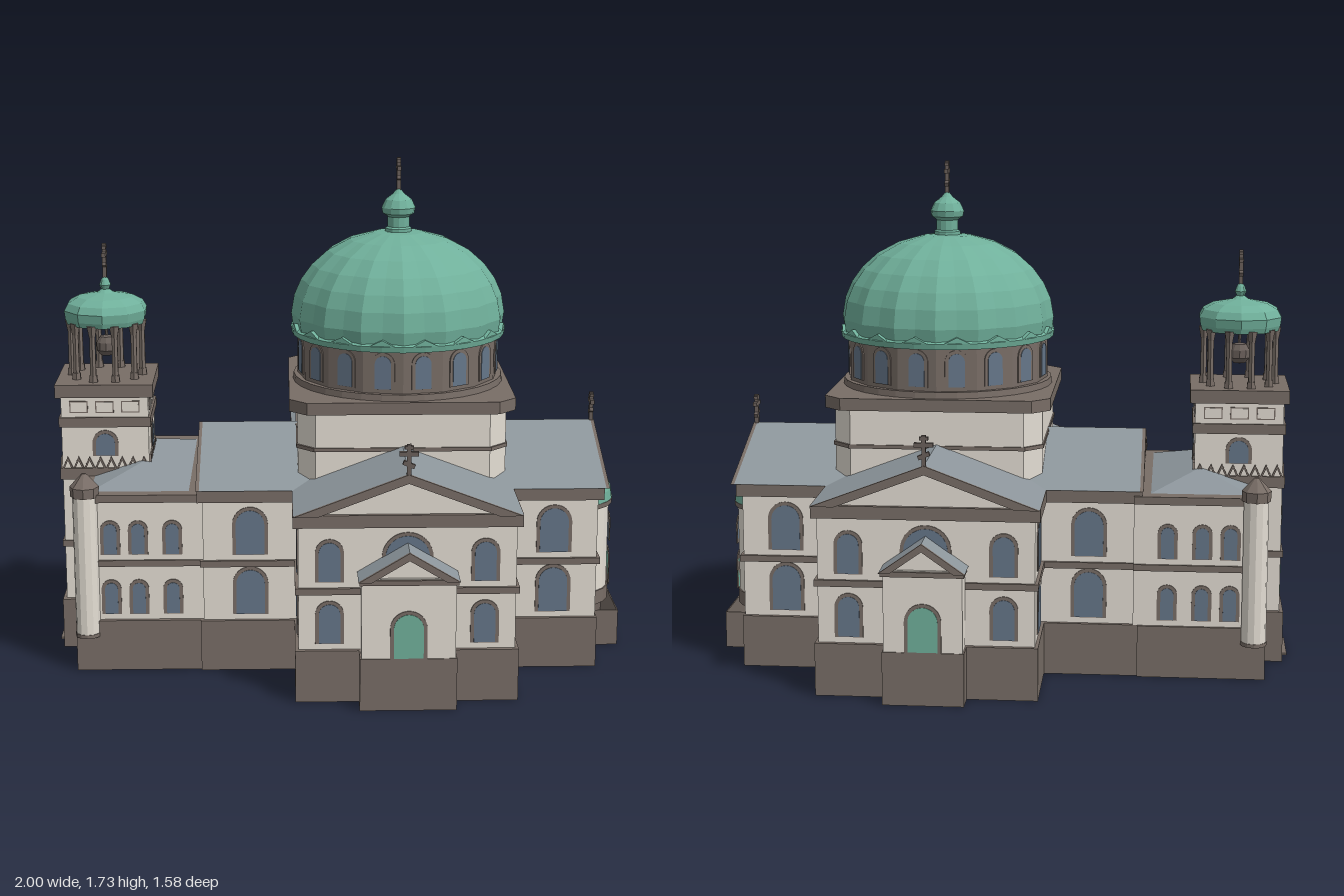
import * as THREE from 'three';

export function createModel() {
  const model = new THREE.Group();
  const mat = (name, color) => new THREE.MeshStandardMaterial({ name, color, flatShading: true });
  const wall = mat('plaster', 0xe3ddd3);
  const stone = mat('brown stone', 0x786d66);
  const slate = mat('slate roof', 0x8d969c);
  const green = mat('copper green', 0x70b09b);
  const glass = mat('window glass', 0x657689);
  const iron = mat('dark iron', 0x6a605b);

  const CX = 0.214;               // centre of the cross plan
  const TX = -0.815, TZ = -0.018; // centre of the bell tower

  function add(name, geo, m, x = 0, y = 0, z = 0, parent = model) {
    const mesh = new THREE.Mesh(geo, m);
    mesh.name = name;
    mesh.position.set(x, y, z);
    parent.add(mesh);
    return mesh;
  }
  const box = (name, m, x0, x1, y0, y1, z0, z1) =>
    add(name, new THREE.BoxGeometry(x1 - x0, y1 - y0, z1 - z0), m, (x0 + x1) / 2, (y0 + y1) / 2, (z0 + z1) / 2);
  const cyl = (name, m, x, z, y0, y1, r0, r1, n) =>
    add(name, new THREE.CylinderGeometry(r1, r0, y1 - y0, n), m, x, (y0 + y1) / 2, z);
  const lathe = (pts, n) => new THREE.LatheGeometry(pts.map(p => new THREE.Vector2(p[0], p[1])), n);
  const extrude = (shape, depth) => new THREE.ExtrudeGeometry(shape, { depth, bevelEnabled: false, curveSegments: 8 });
  const polygon = pts => new THREE.Shape(pts.map(p => new THREE.Vector2(p[0], p[1])));

  function arch(w, h) {
    const s = new THREE.Shape();
    s.moveTo(-w / 2, 0);
    s.lineTo(w / 2, 0);
    s.lineTo(w / 2, h - w / 2);
    s.absarc(0, h - w / 2, w / 2, 0, Math.PI, false);
    return s;
  }
  // Arched opening with a stone surround; angle turns it away from +z
  function opening(name, x, y, z, angle, w, h, fill = glass) {
    const g = new THREE.Group();
    g.name = name;
    add(name + 'Frame', extrude(arch(w, h), 0.004), stone, 0, 0, 0, g);
    add(name + 'Pane', extrude(arch(w - 0.024, h - 0.014), 0.006), fill, 0, 0.002, 0, g);
    g.position.set(x, y, z);
    g.rotation.y = angle;
    model.add(g);
  }
  // Two storeys of the same opening
  function windowPair(x, z, angle, w, hLow, hHigh) {
    opening('lowerWindow', x, 0.2, z, angle, w, hLow);
    opening('upperWindow', x, 0.415, z, angle, w, hHigh);
  }
  // Gabled roof along local z with plaster pediment and stone rakes
  function gable(name, x, z, angle, w, y0, y1, half, t) {
    const g = new THREE.Group();
    g.name = name;
    const wi = w * (1 - t / (y1 - y0));
    const chevron = polygon([[-w, y0], [-wi, y0], [0, y1 - t], [wi, y0], [w, y0], [0, y1]]);
    add('roofSlopes', extrude(chevron, 2 * half - 0.024), slate, 0, 0, 0.012 - half, g);
    add('pediment', extrude(polygon([[-wi, y0], [wi, y0], [0, y1 - t]]), 2 * half - 0.07), wall, 0, 0, 0.035 - half, g);
    for (const z0 of [-half, half - 0.012]) add('rake', extrude(chevron, 0.012), stone, 0, 0, z0, g);
    g.position.set(x, 0, z);
    g.rotation.y = angle;
    model.add(g);
  }
  // Three-barred cross facing local z
  function cross(x, y, z, h, angle) {
    const g = new THREE.Group();
    g.name = 'cross';
    const t = 0.014;
    add('post', new THREE.BoxGeometry(t, h, t), iron, 0, h / 2, 0, g);
    add('topBar', new THREE.BoxGeometry(h * 0.28, t * 0.8, t), iron, 0, h * 0.9, 0, g);
    add('mainBar', new THREE.BoxGeometry(h * 0.6, t, t), iron, 0, h * 0.7, 0, g);
    add('slantedBar', new THREE.BoxGeometry(h * 0.38, t, t), iron, 0, h * 0.36, 0, g).rotation.z = -0.4;
    g.position.set(x, y, z);
    g.rotation.y = angle;
    model.add(g);
  }

  // Hollow plinths, open below: outline(e) gives [x, -z] corners inset by e
  function skirt(name, outline, t, h) {
    const ring = polygon(outline(0));
    ring.holes.push(polygon(outline(t)));
    add(name + 'Sides', extrude(ring, h), stone).rotation.x = -Math.PI / 2;
  }
  function plinth(name, outline, h) {
    skirt(name, outline, 0.015, h - 0.015);
    add(name + 'Top', extrude(polygon(outline(0)), 0.015), stone, 0, h - 0.015, 0).rotation.x = -Math.PI / 2;
  }
  const rect = (x0, x1, z0, z1) => e =>
    [[x0 + e, -z1 + e], [x1 - e, -z1 + e], [x1 - e, -z0 - e], [x0 + e, -z0 - e]];
  plinth('mainPlinth', e => {
    const a = CX - 0.371 + e, b = CX + 0.371 - e, l = -0.48 + e, r = 0.89 - e, n = 0.688 - e, m = 0.39 - e;
    return [[a, -n], [b, -n], [b, -m], [r, -m], [r, m], [b, m], [b, n], [a, n], [a, m], [l, m], [l, -m], [a, -m]];
  }, 0.18);
  plinth('narthexPlinth', rect(-0.91, -0.475, -0.4, 0.38), 0.18);
  plinth('towerPlinth', rect(-0.98, -0.65, TZ - 0.17, TZ + 0.17), 0.179);
  skirt('apsePlinth', rect(0.88, 1, -0.18, 0.18), 0.004, 0.13);
  box('westStep', stone, -1, -0.97, 0, 0.008, TZ - 0.095, TZ + 0.095);

  // Cross-shaped body: walls, string course and cornice
  for (const [name, m, y0, y1, e] of [['walls', wall, 0.18, 0.605, 0],
    ['stringCourse', stone, 0.373, 0.395, 0.011], ['cornice', stone, 0.605, 0.648, 0.018]]) {
    box(name, m, CX - 0.36 - e, CX + 0.36 + e, y0, y1, -0.672 - e, 0.672 + e);
    box(name, m, -0.47 - e, 0.885 + e, y0, y1, -0.376 - e, 0.376 + e);
  }
  gable('crossArmRoof', CX, 0, 0, 0.376, 0.648, 0.79, 0.71, 0.03);
  gable('longArmRoof', CX, 0, Math.PI / 2, 0.4, 0.648, 0.79, 0.706, 0.03);
  cross(CX + 0.695, 0.785, 0, 0.105, Math.PI / 2);

  // North and south fronts
  for (const s of [1, -1]) {
    const a = s > 0 ? 0 : Math.PI;
    for (const d of [-0.257, 0.257]) windowPair(CX + d, s * 0.672, a, 0.095, 0.15, 0.148);
    for (const d of [-0.522, 0.522]) windowPair(CX + d, s * 0.376, a, 0.122, 0.172, 0.17);
    for (const d of [1, -1]) windowPair(CX + d * 0.36, s * 0.53, d * Math.PI / 2, 0.122, 0.172, 0.17);
    opening('centreWindow', CX, 0.42, s * 0.672, a, 0.17, 0.165);
    cross(CX, 0.785, s * 0.7, 0.105, 0);
    windowPair(0.885, s * 0.275, Math.PI / 2, 0.095, 0.15, 0.148);
    // Porch, narrower at the back
    const w = s > 0 ? 0.155 : 0.13;
    const z0 = s > 0 ? 0.675 : -0.768, z1 = s > 0 ? 0.768 : -0.675;
    plinth('porchPlinth', rect(CX - w - 0.005, CX + w + 0.005, z0, z1), 0.18);
    box('porchWalls', wall, CX - w, CX + w, 0.18, 0.455, z0 + 0.004, z1 - 0.004);
    gable('porchRoof', CX, s * 0.69, 0, w + 0.011, 0.45, 0.55, 0.1, 0.026);
    box('porchCornice', stone, CX - w - 0.007, CX + w + 0.007, 0.435, 0.452, z0 - 0.006, z1 + 0.006);
    opening('porchDoor', CX, 0.18, s * 0.764, a, 0.122, 0.165, green);
  }

  // Apse
  cyl('apseFoot', stone, 0.84, 0, 0.13, 0.18, 0.148, 0.148, 20);
  cyl('apseWall', wall, 0.84, 0, 0.18, 0.495, 0.143, 0.143, 20);
  cyl('apseCornice', stone, 0.84, 0, 0.49, 0.508, 0.153, 0.155, 20);
  add('apseDome', new THREE.SphereGeometry(0.154, 20, 6, 0, Math.PI * 2, 0, Math.PI / 2), green, 0.84, 0.503, 0);
  opening('apseDoor', 0.983, 0.18, 0, Math.PI / 2, 0.09, 0.135, green);
  opening('apseWindow', 0.983, 0.345, 0, Math.PI / 2, 0.075, 0.1);

  // Crossing block with cut corners
  function block(name, m, half, cut, y0, y1) {
    const c = half - cut;
    const s = polygon([[half, -c], [half, c], [c, half], [-c, half], [-half, c], [-half, -c], [-c, -half], [c, -half]]);
    add(name, extrude(s, y1 - y0), m, CX, y0, 0).rotation.x = -Math.PI / 2;
  }
  block('crossingWalls', wall, 0.357, 0.06, 0.6, 0.91);
  block('crossingBand', stone, 0.362, 0.06, 0.773, 0.786);
  block('crossingCornice', stone, 0.386, 0.06, 0.908, 0.95);

  // Drum and ribbed dome with a small gablet over each bay
  cyl('drumFoot', stone, CX, 0, 0.948, 0.972, 0.371, 0.368, 32);
  cyl('drum', stone, CX, 0, 0.97, 1.125, 0.354, 0.354, 16);
  for (let i = 0; i < 16; i++) {
    const a = (i + 0.5) * Math.PI / 8, r = 0.354 * Math.cos(Math.PI / 16);
    opening('drumWindow', CX + r * Math.sin(a), 0.985, r * Math.cos(a), a, 0.08, 0.128);
    const gablet = add('domeGablet', extrude(polygon([[-0.045, 0], [0.045, 0], [0, 0.022]]), 0.02), green,
      CX + 0.354 * Math.sin(a), 1.138, 0.354 * Math.cos(a));
    gablet.rotation.y = a;
  }
  add('domeSkirt', lathe([[0.34, 1.118], [0.374, 1.118], [0.378, 1.138], [0.362, 1.146]], 32), green, CX);
  const domeGeo = lathe([[0.368, 1.13], [0.376, 1.185], [0.365, 1.25], [0.341, 1.305], [0.303, 1.357],
    [0.247, 1.407], [0.172, 1.447], [0.086, 1.471], [0, 1.477]], 32);
  const p = domeGeo.attributes.position;
  for (let i = 0; i < p.count; i++) { // pull in every other meridian to form lobes
    const a = Math.round(Math.atan2(p.getX(i), p.getZ(i)) / (Math.PI / 16));
    if (a % 2) { p.setX(i, p.getX(i) * 0.968); p.setZ(i, p.getZ(i) * 0.968); }
  }
  add('dome', domeGeo, green, CX);
  add('domeFinial', lathe([[0.046, 1.46], [0.046, 1.485], [0.038, 1.49], [0.038, 1.525], [0.055, 1.537],
    [0.059, 1.557], [0.046, 1.585], [0.02, 1.605], [0, 1.63]], 12), green, CX);
  cross(CX, 1.615, 0, 0.115, Math.PI / 2);

  // Narthex with hipped roof
  box('narthexWalls', wall, -0.9, -0.46, 0.18, 0.61, TZ - 0.372, TZ + 0.382);
  box('narthexStringCourse', stone, -0.908, -0.46, 0.373, 0.395, TZ - 0.38, TZ + 0.39);
  box('narthexCornice', stone, -0.907, -0.46, 0.605, 0.632, TZ - 0.385, TZ + 0.403);
  const hip = new THREE.BoxGeometry(0.34, 0.055, 0.69);
  const hp = hip.attributes.position;
  for (let i = 0; i < hp.count; i++) if (hp.getY(i) > 0) { hp.setX(i, 0); hp.setZ(i, Math.sign(hp.getZ(i)) * 0.16); }
  add('narthexRoof', hip, slate, -0.685, 0.659, -0.005);
  for (const s of [1, -1]) {
    const z = s > 0 ? TZ + 0.382 : TZ - 0.372;
    for (const x of [-0.787, -0.692, -0.575]) windowPair(x, z, s > 0 ? 0 : Math.PI, 0.068, 0.125, 0.122);
    windowPair(-0.9, TZ + s * 0.25, -Math.PI / 2, 0.068, 0.125, 0.122);
    // Corner turret
    const tz = TZ + s * 0.385;
    cyl('turretFoot', stone, -0.87, tz, 0.125, 0.138, 0.044, 0.044, 12);
    cyl('turretShaft', wall, -0.87, tz, 0.138, 0.63, 0.042, 0.042, 12);
    cyl('turretCap', stone, -0.87, tz, 0.625, 0.66, 0.048, 0.05, 8);
    cyl('turretTip', stone, -0.87, tz, 0.66, 0.705, 0.05, 0.008, 8);
  }

  // Bell tower shaft and its stone bands
  const tier = (name, m, half, y0, y1) => box(name, m, TX - half, TX + half, y0, y1, TZ - half, TZ + half);
  tier('towerWalls', wall, 0.152, 0.178, 0.92);
  tier('towerStringCourse', stone, 0.16, 0.373, 0.395);
  tier('towerLowerCornice', stone, 0.16, 0.62, 0.66);
  tier('towerMiddleBand', stone, 0.16, 0.808, 0.843);
  tier('towerTopSlab', stone, 0.17, 0.916, 0.962);
  const tooth = polygon([[-0.019, 0], [0, 0.042], [0.019, 0], [0.012, 0], [0, 0.027], [-0.012, 0]]);
  for (let k = 0; k < 4; k++) {
    const a = k * Math.PI / 2;
    const side = new THREE.Group();
    side.name = 'towerSideDetail';
    for (let i = 0; i < 8; i++) add('corbelTooth', extrude(tooth, 0.006), stone, (i - 3.5) * 0.038, 0.66, 0.152, side);
    for (const x of [-0.09, 0, 0.09]) {
      add('panelFrame', new THREE.BoxGeometry(0.064, 0.042, 0.006), stone, x, 0.88, 0.152, side);
      add('panel', new THREE.BoxGeometry(0.056, 0.034, 0.007), wall, x, 0.88, 0.153, side);
    }
    side.position.set(TX, 0, TZ);
    side.rotation.y = a;
    model.add(side);
    opening('towerWindow', TX + 0.152 * Math.sin(a), 0.703, TZ + 0.152 * Math.cos(a), a, 0.09, 0.093);
  }
  opening('westDoor', TX - 0.152, 0.18, TZ, -Math.PI / 2, 0.14, 0.18, green);
  const disc = (name, m, r, h) => { add(name, new THREE.CylinderGeometry(r, r, h, 16), m, TX - 0.153, 0.5, TZ).rotation.z = Math.PI / 2; };
  disc('roundWindowFrame', stone, 0.06, 0.01);
  disc('roundWindow', glass, 0.047, 0.016);

  // Belfry: ring of columns, bell and small dome
  for (let i = 0; i < 10; i++) {
    const a = (i + 0.5) * Math.PI / 5, x = TX + 0.125 * Math.sin(a), z = TZ + 0.125 * Math.cos(a);
    cyl('belfryColumn', stone, x, z, 0.962, 1.16, 0.012, 0.011, 6);
    cyl('columnBase', stone, x, z, 0.962, 0.985, 0.017, 0.015, 6);
    cyl('columnCapital', stone, x, z, 1.12, 1.16, 0.012, 0.02, 6);
  }
  add('bell', lathe([[0, 1.03], [0.022, 1.034], [0.036, 1.052], [0.036, 1.08], [0.024, 1.1], [0, 1.106]], 10), iron, TX, 0, TZ);
  cyl('bellHanger', iron, TX, TZ, 1.1, 1.17, 0.006, 0.006, 6);
  cyl('belfryRing', green, TX, TZ, 1.152, 1.172, 0.138, 0.145, 10);
  add('belfryDome', lathe([[0, 1.17], [0.145, 1.17], [0.149, 1.2], [0.135, 1.225], [0.098, 1.245],
    [0.03, 1.258], [0.014, 1.27], [0.021, 1.285], [0.014, 1.303], [0, 1.322]], 10), green, TX, 0, TZ);
  cross(TX, 1.31, TZ, 0.12, Math.PI / 2);

  return model;
}
